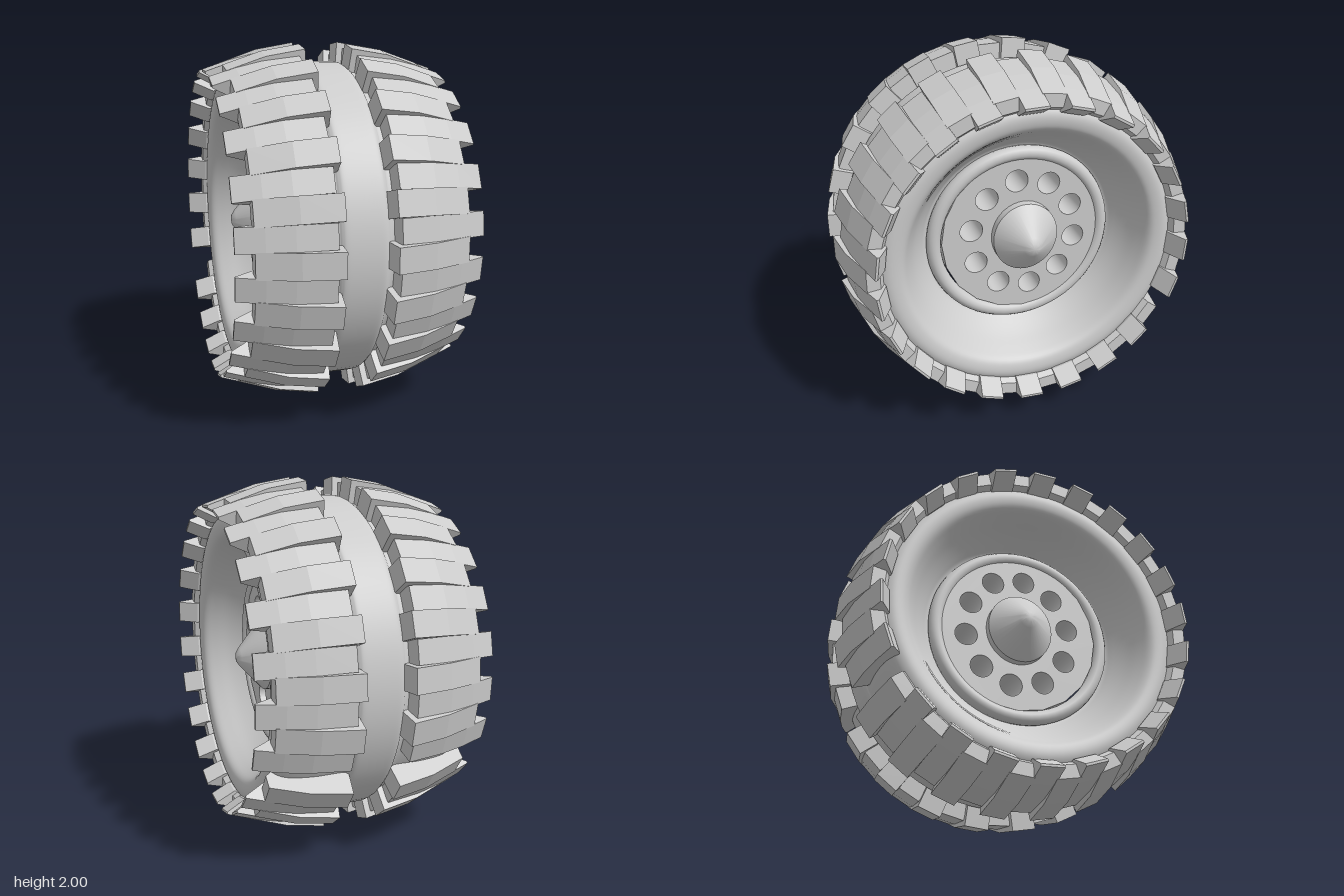
import * as THREE from 'three';
import { toCreasedNormals } from 'three/addons/utils/BufferGeometryUtils.js';

const grey = new THREE.MeshStandardMaterial({ color: 0xcccccc });
grey.name = 'plain grey';

const vec = ([a, b]) => new THREE.Vector2(a, b);

function add(parent, name, geometry) {
  const mesh = new THREE.Mesh(geometry, grey);
  mesh.name = name;
  parent.add(mesh);
  return mesh;
}

// Tread block: side outline (across, radius) extruded to its width
function lugGeometry(outline, width) {
  const g = new THREE.ExtrudeGeometry(new THREE.Shape(outline.map(vec)), { depth: width, bevelEnabled: false });
  return g.translate(0, 0, -width / 2);
}

export function createModel() {
  const model = new THREE.Group();
  model.name = 'wheel';
  const wheel = new THREE.Group();
  wheel.name = 'wheelAssembly';
  wheel.position.y = 1;
  model.add(wheel);

  // Tyre carcass: half profile (radius, across), mirrored and turned about x
  const half = [
    [0.897, 0.05], [0.895, 0.1], [0.885, 0.12], [0.87, 0.15], [0.87, 0.3], [0.855, 0.43], [0.825, 0.495],
    [0.78, 0.525], [0.73, 0.525], [0.69, 0.505], [0.655, 0.45], [0.61, 0.37], [0.56, 0.3], [0.525, 0.265], [0.45, 0.25],
  ];
  const profile = [...half.map(([r, x]) => [r, -x]).reverse(), ...half].map(vec);
  const tyre = new THREE.LatheGeometry(new THREE.SplineCurve(profile).getPoints(120), 72);
  add(wheel, 'tyre', tyre.rotateZ(-Math.PI / 2));

  // Two alternating kinds of tread block on each side; the long ones are undercut at the end
  const shortLug = lugGeometry([
    [0.115, 0.84], [0.5, 0.79], [0.548, 0.82], [0.548, 0.89], [0.34, 0.962], [0.13, 0.998], [0.12, 0.9],
  ], 0.135);
  const longLug = lugGeometry([
    [0.15, 0.84], [0.45, 0.8], [0.535, 0.79], [0.64, 0.845], [0.64, 0.858], [0.5, 0.905], [0.36, 0.938], [0.16, 0.963],
  ], 0.128);
  const step = 16;
  for (const side of [1, -1]) {
    const tread = new THREE.Group();
    tread.name = side > 0 ? 'leftTread' : 'rightTread';
    wheel.add(tread);
    const pair = [shortLug, longLug].map((g) => (side > 0 ? g : g.clone().rotateY(Math.PI)));
    for (let i = 0; i < 22; i++) {
      const angle = -144 + i * step;
      pair.forEach((g, k) => {
        const lug = add(tread, k ? 'longTreadBlock' : 'shortTreadBlock', g);
        lug.rotation.x = THREE.MathUtils.degToRad(90 - angle - (k * step) / 2);
      });
    }
  }

  // Rounded rim ring on each side
  for (const side of [1, -1]) {
    const ring = new THREE.TorusGeometry(0.485, 0.04, 14, 64).rotateY(Math.PI / 2);
    add(wheel, 'rimRing', ring).position.x = side * 0.28;
  }

  // Wheel centre with ten round holes going right through
  const centre = new THREE.Group();
  centre.name = 'wheelCentre';
  centre.position.set(0, 0.01, -0.02);
  wheel.add(centre);
  const sides = 20;
  const disc = new THREE.Shape(Array.from({ length: sides }, (_, i) => {
    const a = (i / sides) * Math.PI * 2;
    return vec([0.465 * Math.cos(a), 0.465 * Math.sin(a)]);
  }));
  for (let i = 0; i < 10; i++) {
    const a = THREE.MathUtils.degToRad(97.4 + i * 36);
    const hole = new THREE.Path();
    hole.absarc(0.302 * Math.cos(a), 0.325 * Math.sin(a), 0.064, 0, Math.PI * 2, true);
    disc.holes.push(hole);
  }
  const drum = new THREE.ExtrudeGeometry(disc, { depth: 0.61, bevelEnabled: false, curveSegments: 16 });
  drum.translate(0, 0, -0.305).rotateY(Math.PI / 2);
  add(centre, 'drilledDisc', toCreasedNormals(drum, 0.5));

  // Conical hub cap on each side, slightly oval, with a blunt tip
  const cone = [[0.198, 0.28], [0.198, 0.35], [0.188, 0.36], [0.055, 0.48], [0.03, 0.497], [0, 0.503]].map(vec);
  for (const side of [1, -1]) {
    const hub = new THREE.LatheGeometry(cone, 40).rotateZ((-side * Math.PI) / 2).scale(1, 1, 0.93);
    add(centre, 'hubCap', toCreasedNormals(hub, 0.5));
  }

  return model;
}
